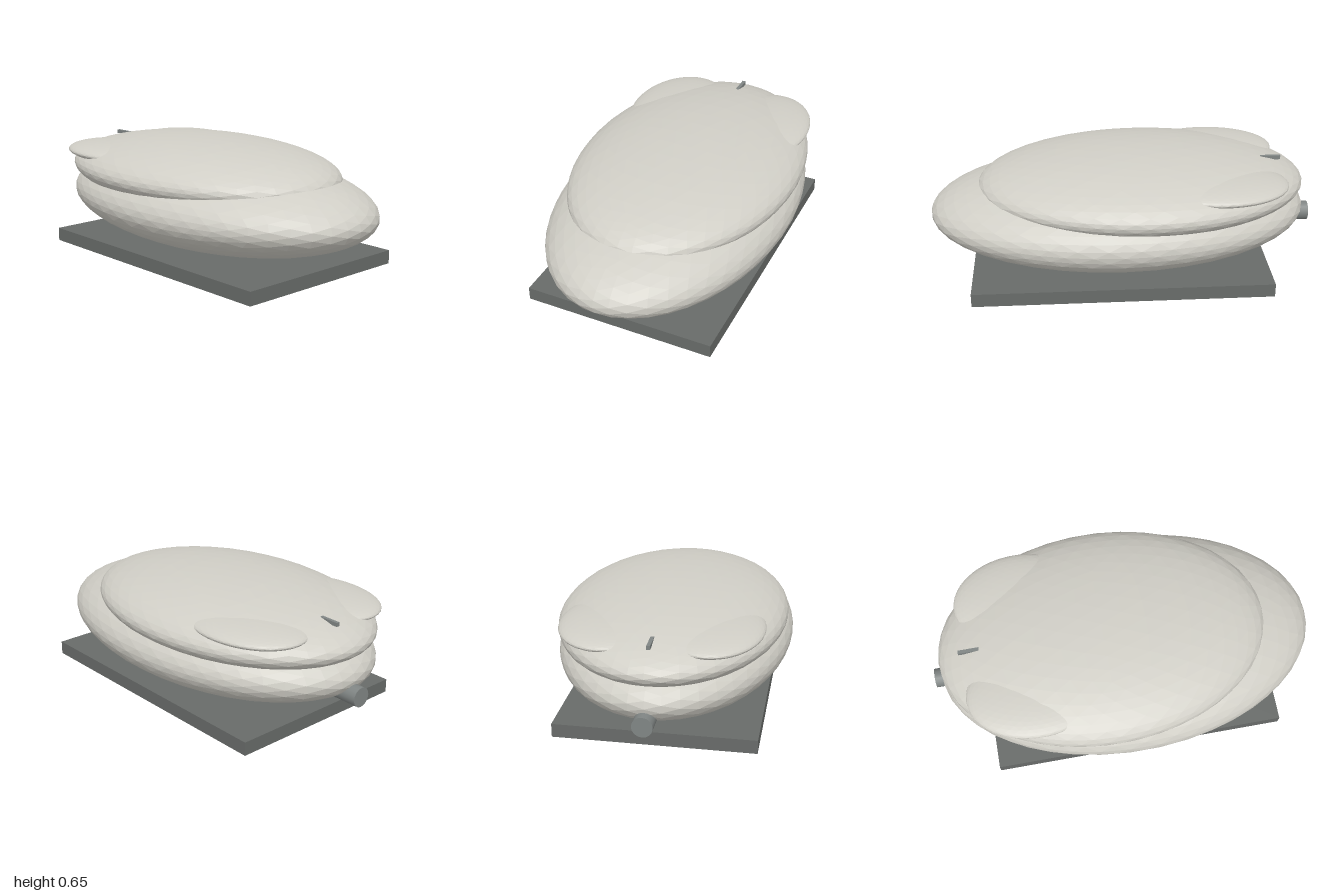
import * as THREE from 'three';

const material = (name, color) => {
  const m = new THREE.MeshStandardMaterial({ color });
  m.name = name;
  return m;
};

export function createModel() {
  const group = new THREE.Group();
  const shell = material('warm light grey', 0xd0cec6);
  const base = material('dark grey', 0x686b69);
  const trim = material('mid grey', 0x808584);
  const ringGrey = material('brownish grey', 0xb5aca4);

  const add = (name, geometry, mat, x, y, z) => {
    const mesh = new THREE.Mesh(geometry, mat);
    mesh.name = name;
    mesh.position.set(x, y, z);
    group.add(mesh);
    return mesh;
  };

  // Faceted ellipsoid; unshared corners give flat normals
  const ellipsoid = (rx, ry, rz, detail = 7) => {
    const g = new THREE.IcosahedronGeometry(1, detail).scale(rx, ry, rz);
    g.computeVertexNormals();
    return g;
  };

  // Two stacked halves of the rounded body
  add('lowerBody', ellipsoid(0.6, 0.24, 0.98), shell, 0, 0.337, 0.02);
  add('upperShell', ellipsoid(0.58, 0.17, 0.85), shell, 0, 0.48, -0.1);

  // Mirrored buttons, mostly sunk into the shell
  for (const side of [-1, 1]) {
    add(side > 0 ? 'leftButton' : 'rightButton',
      ellipsoid(0.25, 0.05, 0.35), shell, side * 0.25, 0.55, -0.48);
  }

  // Scroll bar and cable stub at the back
  add('scrollBar', new THREE.BoxGeometry(0.018, 0.02, 0.16), trim, 0, 0.584, -0.755);
  add('cable', new THREE.CylinderGeometry(0.05, 0.05, 0.3, 16).rotateX(Math.PI / 2),
    trim, 0, 0.267, -0.85);

  // Flat base with the ball and its retaining ring underneath
  add('basePlate', new THREE.BoxGeometry(1, 0.07, 1.525), base, 0, 0.07, 0.0175);
  add('ballRing', new THREE.CylinderGeometry(0.225, 0.225, 0.016, 32), ringGrey, 0, 0.035, 0.285);
  add('ball', ellipsoid(0.15, 0.06, 0.15), trim, 0, 0.06, 0.285);

  return group;
}
